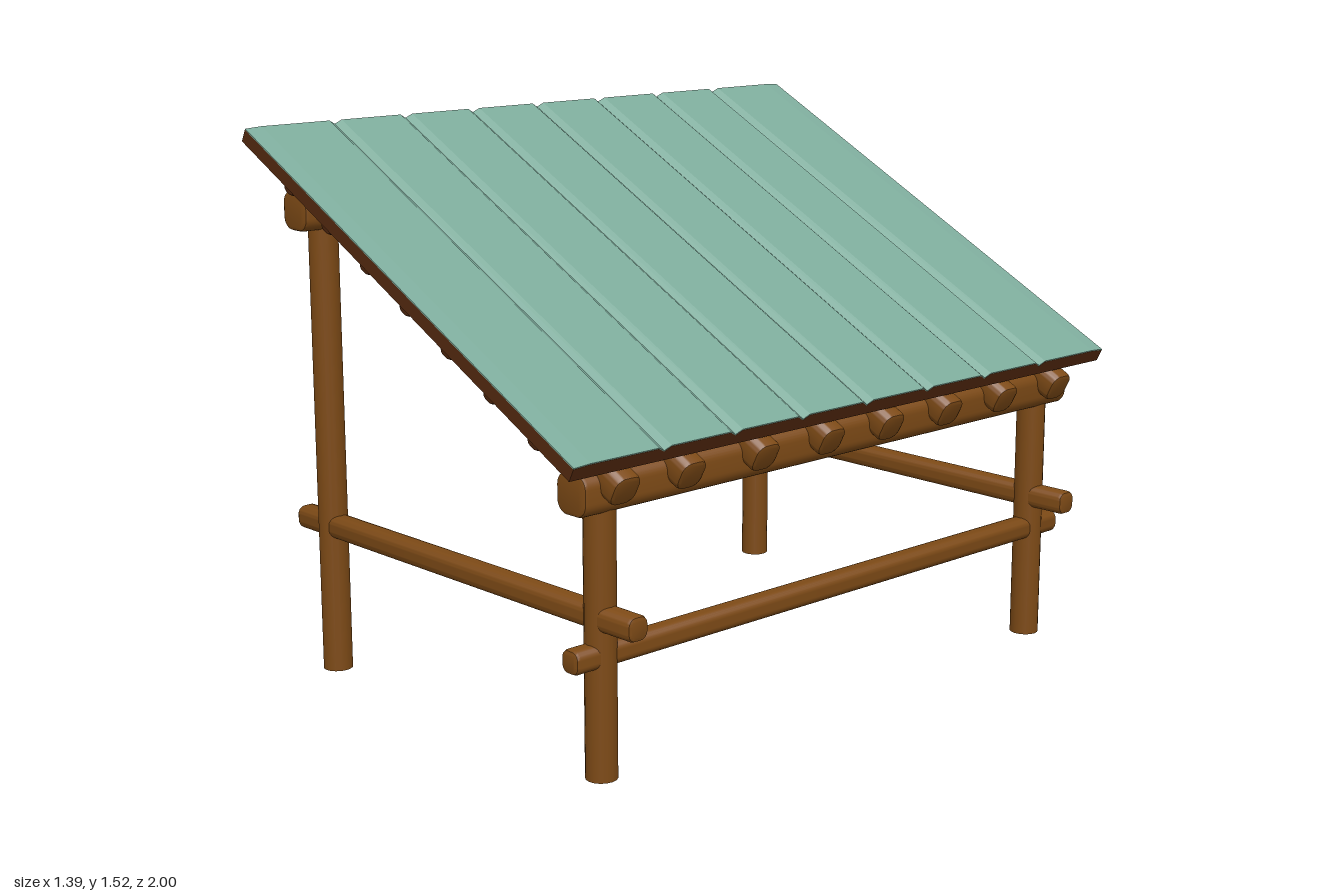
import * as THREE from 'three';
import { toCreasedNormals } from 'three/addons/utils/BufferGeometryUtils.js';

const wood = new THREE.MeshStandardMaterial({ color: 0x7d4a16 });
const darkWood = new THREE.MeshStandardMaterial({ color: 0x552a10 });
const roofGreen = new THREE.MeshStandardMaterial({ color: 0x7dab9b });

// Log with a soft square section of half width r, centred on the origin along z
function logGeometry(r, length, bevel = 0.01) {
  const h = r - bevel, c = h * 0.6;
  const s = new THREE.Shape();
  s.moveTo(h, -h + c);
  s.lineTo(h, h - c);
  s.absarc(h - c, h - c, c, 0, Math.PI / 2);
  s.absarc(-h + c, h - c, c, Math.PI / 2, Math.PI);
  s.absarc(-h + c, -h + c, c, Math.PI, Math.PI * 1.5);
  s.absarc(h - c, -h + c, c, Math.PI * 1.5, Math.PI * 2);
  const g = new THREE.ExtrudeGeometry(s, {
    depth: length - 2 * bevel, curveSegments: 4,
    bevelEnabled: true, bevelThickness: bevel, bevelSize: bevel, bevelSegments: 2,
  });
  g.translate(0, 0, -length / 2 + bevel);
  return toCreasedNormals(g, 0.6);
}

function addLog(parent, name, axis, r, length, pos, material = wood) {
  const m = new THREE.Mesh(logGeometry(r, length), material);
  if (axis === 'x') m.rotation.y = Math.PI / 2;
  m.position.set(...pos);
  m.name = name;
  parent.add(m);
}

// Roof upper edge across its width: V grooves between panels, ends eased down
function roofEdge(lift) {
  const pts = [[-1, -0.004], [-0.95, 0]];
  for (let i = -3; i <= 3; i++) {
    const z = i * 0.238;
    pts.push([z - 0.02, 0], [z, -0.012], [z + 0.02, 0]);
  }
  pts.push([0.95, 0], [1, -0.004]);
  return pts.map(([x, y]) => new THREE.Vector2(x, y + lift));
}

function roofLayer(name, lower, upper, length, material) {
  const shape = new THREE.Shape([...lower, ...upper.slice().reverse()]);
  const g = new THREE.ExtrudeGeometry(shape, { depth: length, bevelEnabled: false });
  g.translate(0, 0, -length / 2);
  g.rotateY(Math.PI / 2);
  const m = new THREE.Mesh(g, material);
  m.name = name;
  return m;
}

export function createModel() {
  const model = new THREE.Group();
  model.name = 'leanToShelter';
  const tallX = -0.565, shortX = 0.555, postZ = 0.825;

  // Posts and the rails joining them front to back of the slope
  for (const z of [-postZ, postZ]) {
    for (const [name, x, h] of [['tallPost', tallX, 1.28], ['shortPost', shortX, 0.72]]) {
      const g = new THREE.CylinderGeometry(0.041, 0.041, h, 16);
      const post = new THREE.Mesh(g, wood);
      post.position.set(x, h / 2, z);
      post.name = name;
      model.add(post);
    }
    addLog(model, 'sideRail', 'x', 0.032, 1.39, [0, 0.415, z]);
  }

  // Beams over the posts and the low rail
  addLog(model, 'highBeam', 'z', 0.054, 1.83, [tallX, 1.295, 0]);
  addLog(model, 'lowBeam', 'z', 0.054, 1.83, [shortX, 0.735, 0]);
  addLog(model, 'lowRail', 'z', 0.031, 1.85, [shortX, 0.32, 0]);

  // Everything on the slope: local x runs down the slope, y is its normal
  const slope = new THREE.Group();
  slope.name = 'slopingRoof';
  slope.position.set(0.01, 1.178, 0);
  slope.rotation.z = -0.474;
  model.add(slope);

  for (const z of [-0.825, -0.587, -0.352, -0.115, 0.115, 0.355, 0.61, 0.825])
    addLog(slope, 'rafter', 'x', 0.042, 1.465, [0.037, -0.092, z]);
  for (let i = -3; i <= 3; i++)
    addLog(slope, 'purlin', 'z', 0.026, 1.92, [i * 0.186, -0.068, 0], darkWood);

  // Boarding with the green sheet on top
  const flat = [new THREE.Vector2(-1, -0.043), new THREE.Vector2(1, -0.043)];
  slope.add(roofLayer('roofBoarding', flat, roofEdge(-0.003), 1.485, darkWood));
  slope.add(roofLayer('roofSheet', roofEdge(-0.003), roofEdge(0), 1.484, roofGreen));
  return model;
}
